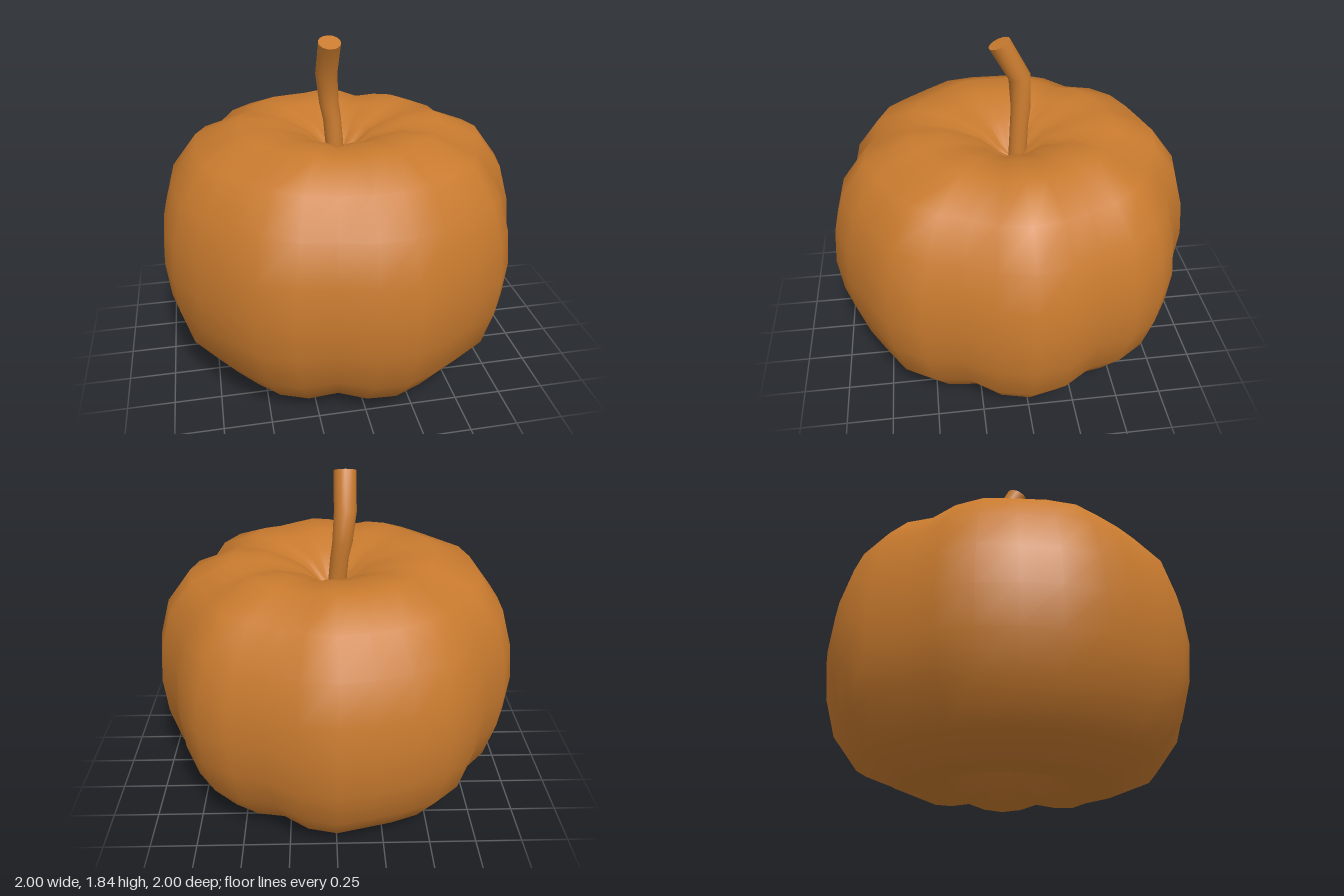
import * as THREE from 'three';

const SIDES = 32;
const MID = 0.69;

// Radius of the ribbed outline, every 11.25 degrees from +x towards +z
const RIBS = [
  1.0, 0.98, 0.93, 0.985, 1.01, 0.99, 1.0, 1.02,
  1.0, 0.95, 1.0, 1.015, 1.0, 1.0, 1.02, 1.01,
  1.0, 1.01, 0.99, 0.95, 0.99, 1.0, 0.985, 0.98,
  1.0, 0.98, 0.93, 0.97, 0.99, 0.975, 0.93, 0.98,
];

// Upper half profile as [radius, height above the middle], equator to dimple
const HALF = [
  [1, 0], [0.98, 0.2], [0.92, 0.41], [0.785, 0.59], [0.55, 0.685],
  [0.37, 0.675], [0.19, 0.61], [0.08, 0.52], [0, 0.47],
];

// Skin a stack of closed rings of equal length, listed bottom to top
function loft(rings) {
  const n = rings[0].length;
  const index = [];
  for (let i = 0; i < rings.length - 1; i++) {
    for (let j = 0; j < n; j++) {
      const k = (j + 1) % n;
      const a = i * n + j, b = i * n + k, c = a + n, d = b + n;
      index.push(a, c, b, b, c, d);
    }
  }
  const geometry = new THREE.BufferGeometry().setFromPoints(rings.flat());
  geometry.setIndex(index);
  geometry.computeVertexNormals();
  return geometry;
}

// Ribbed body with a dimple at the top and the bottom
function bodyGeometry() {
  const lower = HALF.slice(1).reverse().map(([r, h]) => [r, -h]);
  const rings = [...lower, ...HALF].map(([r, h]) => RIBS.map((rib, j) => {
    const angle = (j / SIDES) * Math.PI * 2;
    const y = MID + h * (1 + (rib - 1) * 0.6);
    return new THREE.Vector3(Math.cos(angle) * r * rib, y, Math.sin(angle) * r * rib);
  }));
  return loft(rings);
}

// One stem ring: centre, radius and tilt about x
function stemRing([x, y, z, radius, tilt]) {
  return Array.from({ length: 16 }, (_, j) => {
    const angle = (j / 16) * Math.PI * 2;
    return new THREE.Vector3(Math.cos(angle) * radius, 0, Math.sin(angle) * radius)
      .applyAxisAngle(new THREE.Vector3(1, 0, 0), tilt)
      .add(new THREE.Vector3(x, y, z));
  });
}

export function createModel() {
  const model = new THREE.Group();
  model.name = 'pumpkin';
  const orange = new THREE.MeshStandardMaterial({ color: 0xc87a2e });
  orange.name = 'pumpkin orange';

  const add = (name, geometry) => {
    const mesh = new THREE.Mesh(geometry, orange);
    mesh.name = name;
    model.add(mesh);
  };

  add('body', bodyGeometry());

  // Bent stem, leaning forward at the top
  const path = [
    [-0.01, 1.1, -0.03, 0.05, 0],
    [-0.03, 1.36, -0.045, 0.05, -0.05],
    [-0.045, 1.45, -0.055, 0.054, 0],
    [-0.06, 1.62, -0.05, 0.06, 0.2],
    [-0.06, 1.81, 0.055, 0.06, 0.4],
  ];
  add('stem', loft(path.map(stemRing)));

  // Flat cut end, kept apart so its edge stays sharp
  const tip = path[path.length - 1];
  const centre = [...tip];
  centre[3] = 0;
  add('stemEnd', loft([stemRing(tip), stemRing(centre)]));

  return model;
}
